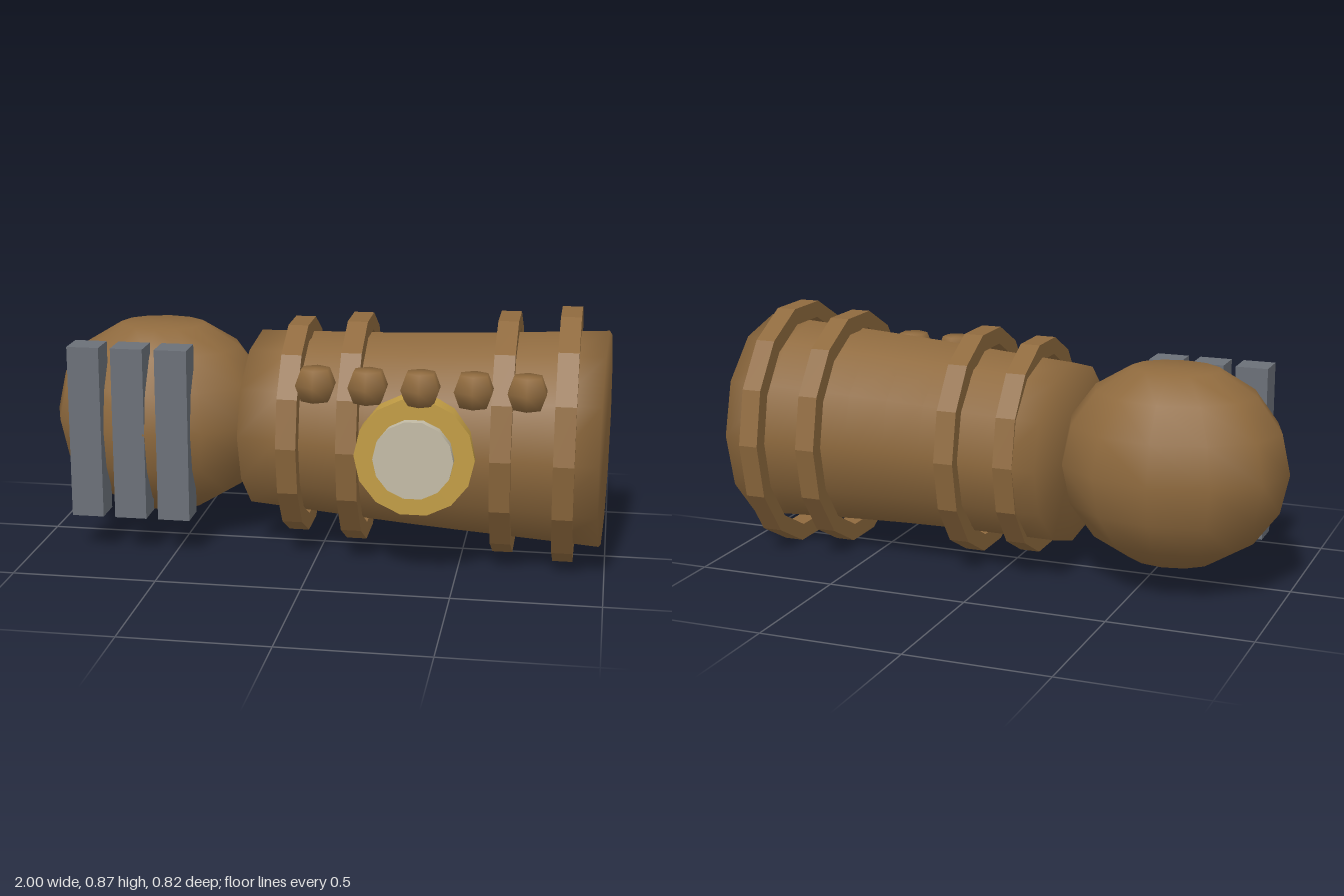
import * as THREE from 'three';

const MID_Y = 0.437;
const FLATTEN = 0.905; // depth of the body's oval section relative to its height

function material(name, color) {
  const m = new THREE.MeshStandardMaterial({ color });
  m.name = name;
  return m;
}

// Smooth ball whose top and bottom are cut flat, one row from the poles
function cutBall(rx, ry, rz, sides, rows) {
  const profile = [];
  for (let i = 1; i < rows; i++) {
    const a = -Math.PI / 2 + (i * Math.PI) / rows;
    profile.push(new THREE.Vector2(Math.cos(a), Math.sin(a)));
  }
  profile.unshift(new THREE.Vector2(0, profile[0].y));
  profile.push(new THREE.Vector2(0, -profile[0].y));
  return new THREE.LatheGeometry(profile, sides).scale(rx, ry, rz);
}

// Closed, tapered oval tube swept along a gently bent path
function bodyGeometry() {
  const path = new THREE.CatmullRomCurve3([
    new THREE.Vector3(-0.235, MID_Y, -0.075),
    new THREE.Vector3(0.36, MID_Y, 0.003),
    new THREE.Vector3(0.985, MID_Y, 0.032),
  ]);
  const stations = 8, sides = 12;
  const pos = [], index = [];
  for (let i = 0; i <= stations; i++) {
    const t = i / stations;
    const c = path.getPoint(t), dir = path.getTangent(t);
    const r = 0.32 + 0.046 * t + 0.017 * t * t;
    for (let j = 0; j < sides; j++) {
      const a = (j / sides) * Math.PI * 2;
      const side = r * FLATTEN * Math.sin(a);
      pos.push(c.x - dir.z * side, c.y + r * Math.cos(a), c.z + dir.x * side);
    }
  }
  for (let i = 0; i < stations; i++) {
    for (let j = 0; j < sides; j++) {
      const k = (j + 1) % sides;
      const a = i * sides + j, b = i * sides + k;
      index.push(a, b, a + sides, b, b + sides, a + sides);
    }
  }
  // End caps
  const first = pos.length / 3, last = first + 1, end = stations * sides;
  pos.push(...path.getPoint(0).toArray(), ...path.getPoint(1).toArray());
  for (let j = 0; j < sides; j++) {
    const k = (j + 1) % sides;
    index.push(first, k, j, last, end + j, end + k);
  }
  const g = new THREE.BufferGeometry();
  g.setAttribute('position', new THREE.Float32BufferAttribute(pos, 3));
  g.setIndex(index);
  g.computeVertexNormals();
  return g;
}

// Faceted oval hoop around the x axis, flat band section
function hoopGeometry(outer, wall, width) {
  const loop = (r) => Array.from({ length: 14 }, (_, i) => {
    const a = (i / 14) * Math.PI * 2;
    return new THREE.Vector2(r * FLATTEN * Math.cos(a), r * Math.sin(a));
  });
  const shape = new THREE.Shape(loop(outer));
  shape.holes.push(new THREE.Path(loop(outer - wall)));
  return new THREE.ExtrudeGeometry(shape, { depth: width, bevelEnabled: false })
    .translate(0, 0, -width / 2)
    .rotateY(Math.PI / 2);
}

// Disc facing +z, with a corner on the x axis
function discGeometry(radius, depth) {
  return new THREE.CylinderGeometry(radius, radius, depth, 14)
    .rotateY(Math.PI / 2)
    .rotateX(Math.PI / 2);
}

export function createModel() {
  const model = new THREE.Group();
  model.name = 'model';
  const brown = material('brown', 0x8f6a3e);
  const grey = material('grey', 0x6b7078);
  const gold = material('gold', 0xc29d45);
  const ivory = material('ivory', 0xc4bca6);

  const add = (name, geometry, mat, x = 0, y = 0, z = 0) => {
    const mesh = new THREE.Mesh(geometry, mat);
    mesh.name = name;
    mesh.position.set(x, y, z);
    model.add(mesh);
  };

  add('body', bodyGeometry(), brown);
  add('head', cutBall(0.4, 0.36, 0.32, 12, 8), brown, -0.6, MID_Y, -0.08);

  // Hoops grow towards the wide end
  [[-0.08, 0.382], [0.128, 0.403], [0.645, 0.424], [0.855, 0.447]].forEach(([x, r], i) =>
    add(`hoop${i + 1}`, hoopGeometry(r, 0.06, 0.07), brown, x, MID_Y, -0.009));

  // Grille bars in front of the head
  for (let i = 0; i < 3; i++) {
    add(`grilleBar${i + 1}`, new THREE.BoxGeometry(0.113, 0.61, 0.11), grey,
      -0.807 + i * 0.155, MID_Y, 0.184);
  }

  // Row of beads along the body
  const bead = cutBall(0.073, 0.077, 0.072, 6, 4);
  for (let i = 0; i < 5; i++) {
    add(`bead${i + 1}`, bead, brown, 0.024 + i * 0.176, 0.67, 0.335);
  }

  // Round medallion
  add('medallionRim', discGeometry(0.203, 0.085), gold, 0.36, MID_Y, 0.322);
  add('medallionFace', discGeometry(0.135, 0.09), ivory, 0.36, MID_Y, 0.353);

  return model;
}
